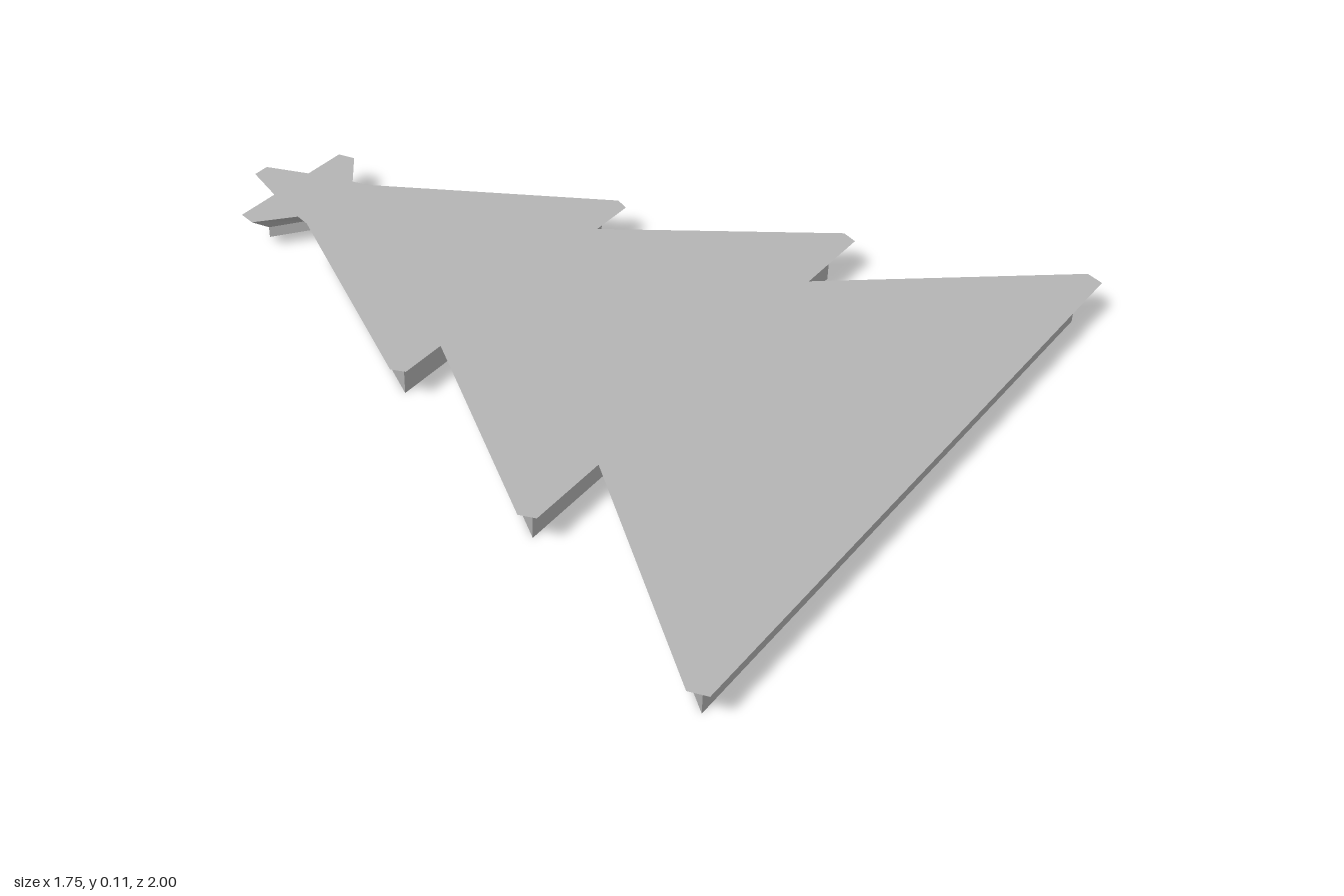
import * as THREE from 'three';

const TOP = 0.11, RIM = 0.065, STAR_BASE = 0.035, HOLE_TOP = 0.04, HOLE_R = 0.065;

// Mirror a half outline [x, z] (back to front) into a closed loop.
const mirrorLoop = half => [
  ...half,
  ...half.filter(p => p[0] > 0).reverse().map(([x, z]) => [-x, z]),
];

// Wall between a lower and an upper loop with matching points.
function wall(low, yLow, high, yHigh) {
  const pos = [];
  low.forEach((a, i) => {
    const j = (i + 1) % low.length;
    const pb = [a[0], yLow, a[1]], qb = [low[j][0], yLow, low[j][1]];
    const pt = [high[i][0], yHigh, high[i][1]], qt = [high[j][0], yHigh, high[j][1]];
    pos.push(...pb, ...pt, ...qt, ...pb, ...qt, ...qb);
  });
  const g = new THREE.BufferGeometry();
  g.setAttribute('position', new THREE.Float32BufferAttribute(pos, 3));
  g.computeVertexNormals();
  return g;
}

// Flat face at height y, facing up or down, with optional holes.
function cap(loop, y, up, holes = []) {
  const s = up ? -1 : 1;
  const pts = l => l.map(([x, z]) => new THREE.Vector2(x, s * z));
  const shape = new THREE.Shape(pts(loop));
  shape.holes = holes.map(h => new THREE.Path(pts(h)));
  return new THREE.ShapeGeometry(shape).rotateX(s * Math.PI / 2).translate(0, y, 0);
}

// Circle wound so that its wall faces inward.
const circle = (cx, cz, n = 32) => Array.from({ length: n }, (_, i) => {
  const a = -i / n * Math.PI * 2;
  return [cx + HOLE_R * Math.cos(a), cz + HOLE_R * Math.sin(a)];
});

export function createModel() {
  const group = new THREE.Group();
  const grey = new THREE.MeshStandardMaterial({ color: 0xb4b4b4 });
  grey.name = 'plain grey';
  const add = (name, geometry) => {
    const mesh = new THREE.Mesh(geometry, grey);
    mesh.name = name;
    group.add(mesh);
  };

  // Wide outline of the top face: star, then three tiers
  const outer = mirrorLoop([
    [0.022, -1], [0.065, -0.89], [0.185, -0.89], [0.195, -0.845], [0.105, -0.77], [0.115, -0.73],
    [0.45, -0.16], [0.435, -0.125], [0.31, -0.125],
    [0.67, 0.385], [0.655, 0.425], [0.435, 0.425],
    [0.875, 0.955], [0.86, 1],
  ]);
  // Narrower outline below the bevel; cut corners meet in one point
  const tiers = [
    [0.392, -0.17], [0.392, -0.17], [0.223, -0.17],
    [0.612, 0.38], [0.612, 0.38], [0.34, 0.38],
    [0.817, 0.957], [0.817, 0.957],
  ];
  const inner = mirrorLoop([
    [0.0001, -0.945], [0.032, -0.844], [0.138, -0.845], [0.138, -0.845],
    [0.052, -0.783], [0.088, -0.685], ...tiers,
  ]);
  add('topFace', cap(outer, TOP, true));
  add('bevel', wall(inner, RIM, outer, TOP));

  // Star body, raised above the base
  const star = mirrorLoop([
    [0, -0.945], [0.032, -0.844], [0.138, -0.845], [0.052, -0.783], [0.085, -0.683], [0, -0.745],
  ]);
  // The front valley belongs between both lower points
  add('starWall', wall(star, STAR_BASE, star, RIM));
  add('starUnderside', cap(star, STAR_BASE, false));

  // Tree body, notched at the back to receive the star
  const tree = mirrorLoop([
    [0, -0.73], [0.088, -0.685],
    ...tiers.filter((p, i) => i === 0 || p[0] !== tiers[i - 1][0]),
  ]);
  add('treeWall', wall(tree, 0, tree, RIM));

  // Round sockets in the underside
  const centres = [
    [0.03, -0.62], [0.16, -0.35], [-0.12, -0.38], [0.02, -0.17], [-0.17, -0.11], [0.16, 0.08],
    [-0.19, 0.05], [0.44, 0.29], [0.255, 0.31], [-0.07, 0.27], [-0.37, 0.25], [0.31, 0.6],
    [-0.265, 0.64], [0, 0.7], [0.58, 0.85], [0.18, 0.87], [-0.135, 0.83], [-0.54, 0.84],
  ];
  const holes = centres.map(([x, z]) => circle(x, z));
  add('treeUnderside', cap(tree, 0, false, holes));
  for (const h of holes) {
    add('socketWall', wall(h, 0, h, HOLE_TOP));
    add('socketEnd', cap(h, HOLE_TOP, false));
  }
  return group;
}
